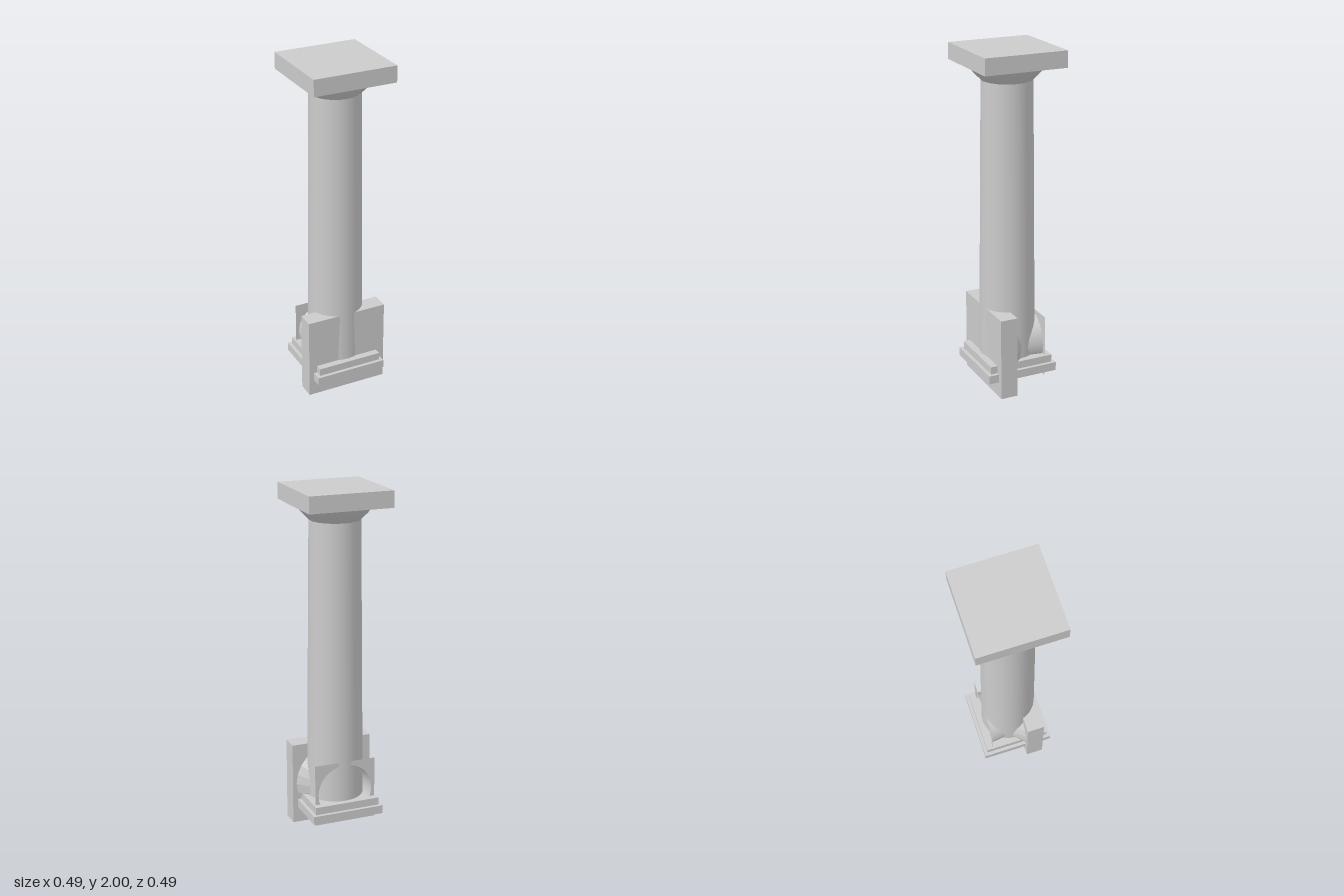
import * as THREE from 'three';

export function createModel() {
  const model = new THREE.Group();
  const stone = new THREE.MeshStandardMaterial({ color: 0xcccccc });
  const faceted = new THREE.MeshStandardMaterial({ color: 0xcccccc, flatShading: true });
  const thin = new THREE.MeshStandardMaterial({ color: 0xcccccc, side: THREE.DoubleSide });

  function add(parent, name, geometry, material, x = 0, y = 0, z = 0) {
    const mesh = new THREE.Mesh(geometry, material);
    mesh.name = name;
    mesh.position.set(x, y, z);
    parent.add(mesh);
    return mesh;
  }

  // Capital with its slab top at local y = 0: square slab over a flared bowl
  function capital(name, slabHeight) {
    const group = new THREE.Group();
    group.name = name;
    add(group, 'slab', new THREE.BoxGeometry(0.49, slabHeight, 0.49), stone, 0, -slabHeight / 2, 0);
    const profile = [[0.146, -0.085], [0.185, -0.045], [0.208, -0.018], [0.222, 0]]
      .map(([r, y]) => new THREE.Vector2(r, y));
    add(group, 'flaredBowl', new THREE.LatheGeometry(profile, 24), faceted, 0, -slabHeight, 0);
    model.add(group);
    return group;
  }

  // Standing column: stepped square base, tapered shaft, capital
  add(model, 'basePlinth', new THREE.BoxGeometry(0.43, 0.05, 0.43), stone, 0, 0.12, 0);
  add(model, 'baseStep', new THREE.BoxGeometry(0.39, 0.045, 0.39), stone, 0, 0.1675, 0);
  add(model, 'shaft', new THREE.CylinderGeometry(0.146, 0.165, 1.67, 32), stone, 0, 0.985, 0);
  capital('topCapital', 0.095).position.y = 2;

  // Second capital lying on its side, slab facing forward, through the shaft foot
  const fallen = capital('fallenCapital', 0.103);
  fallen.rotation.x = Math.PI / 2;
  fallen.position.set(0, 0.245, 0.154);

  // Open neck of the lying capital, widening toward the back
  add(fallen, 'openNeck',
    new THREE.CylinderGeometry(0.146, 0.165, 0.123, 32, 1, true), thin, 0, -0.2495, 0);

  // Thin square sheet with a round opening at the end of the neck
  const h = 0.185;
  const sheet = new THREE.Shape([[-h, -h], [h, -h], [h, h], [-h, h]]
    .map(([x, y]) => new THREE.Vector2(x, y)));
  sheet.holes.push(new THREE.Path().absarc(0, 0, 0.165, 0, Math.PI * 2, true));
  add(model, 'backSheet', new THREE.ShapeGeometry(sheet, 16), thin, 0, 0.245, -0.157);

  return model;
}
